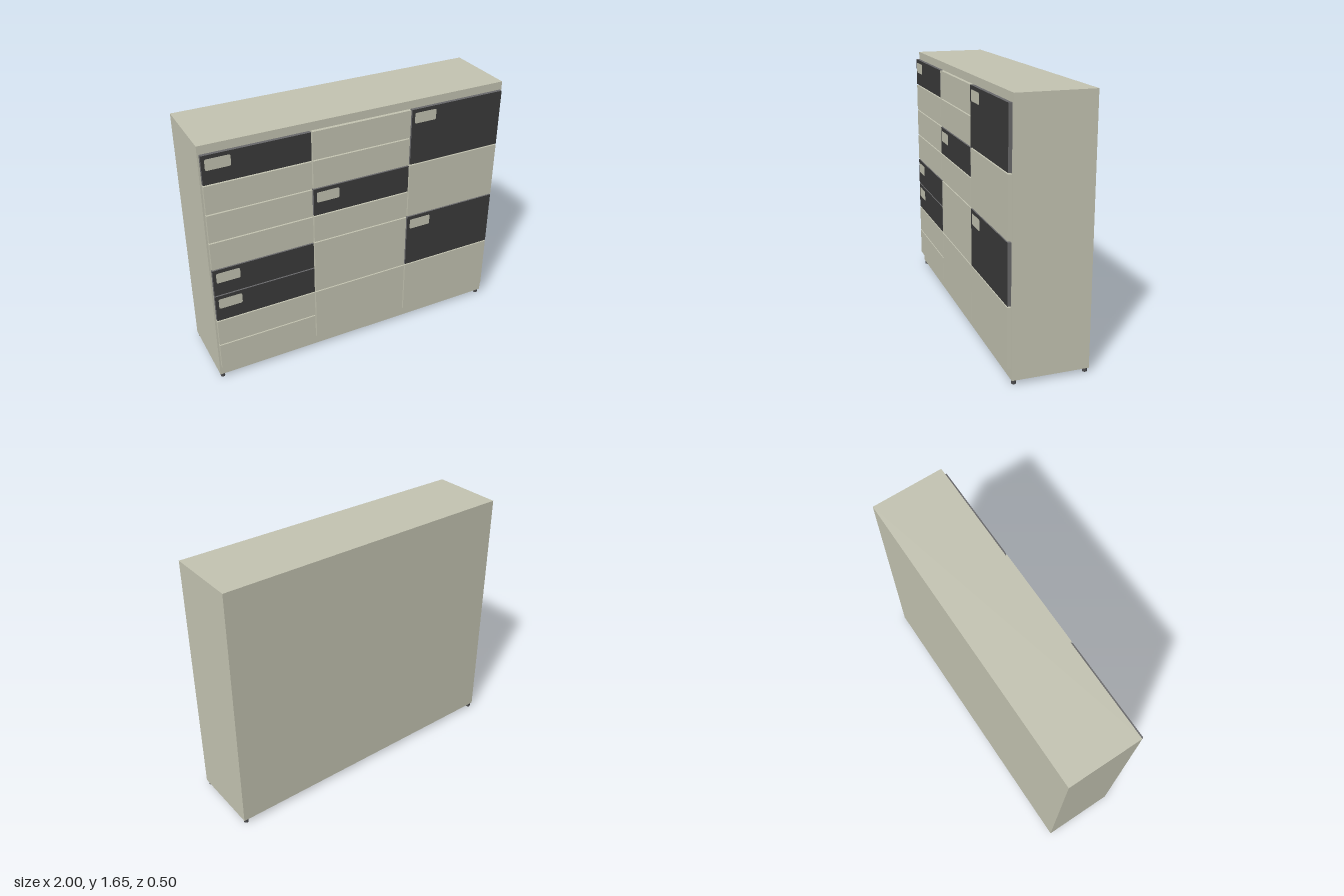
import * as THREE from 'three';

const mat = (name, color) => {
  const m = new THREE.MeshStandardMaterial({ color });
  m.name = name;
  return m;
};

export function createModel() {
  const group = new THREE.Group();
  group.name = 'drawerCabinet';
  const stone = mat('paleStone', 0xc3c3b1);
  const dark = mat('charcoalFront', 0x3a3a3a);
  const grey = mat('greyEdge', 0x68686a);
  const footGrey = mat('footGrey', 0x4c4c4e);

  const add = (name, geometry, material, x, y, z) => {
    const mesh = new THREE.Mesh(geometry, material);
    mesh.name = name;
    mesh.position.set(x, y, z);
    group.add(mesh);
    return mesh;
  };

  // Carcass
  add('carcass', new THREE.BoxGeometry(2, 1.624, 0.475), stone, 0, 0.839, -0.0125);

  // Feet
  for (const x of [-0.98, 0.978])
    for (const z of [-0.233, 0.207])
      add('foot', new THREE.CylinderGeometry(0.0145, 0.0145, 0.028, 16), footGrey, x, 0.014, z);

  // Rounded handle plate
  const w = 0.075, h = 0.035, r = 0.012;
  const shape = new THREE.Shape();
  shape.moveTo(-w + r, -h);
  shape.lineTo(w - r, -h);
  shape.quadraticCurveTo(w, -h, w, -h + r);
  shape.lineTo(w, h - r);
  shape.quadraticCurveTo(w, h, w - r, h);
  shape.lineTo(-w + r, h);
  shape.quadraticCurveTo(-w, h, -w, h - r);
  shape.lineTo(-w, -h + r);
  shape.quadraticCurveTo(-w, -h, -w + r, -h);
  const handle = new THREE.ShapeGeometry(shape, 4);

  // Fronts per column, from the top: [height in rows, is dark]
  const columns = [
    [[1, 1], [1, 0], [1, 0], [1, 0], [1, 1], [1, 1], [1, 0], [1, 0]],
    [[1, 0], [1, 0], [1, 1], [1, 0], [2, 0], [2, 0]],
    [[2, 1], [2, 0], [2, 1], [2, 0]],
  ];
  const pitch = 0.1885, gap = 0.008, width = 0.653;
  columns.forEach((fronts, c) => {
    const left = -0.99 + c * 0.661;
    let top = 1.6;
    for (const [rows, isDark] of fronts) {
      const height = rows * pitch - gap;
      const material = isDark ? [grey, grey, grey, grey, dark, grey] : stone;
      add(rows === 1 ? 'drawerFront' : 'doorFront', new THREE.BoxGeometry(width, height, 0.022),
        material, left + width / 2, top - height / 2, 0.238);
      if (isDark) add('handlePlate', handle, stone, left + 0.095, top - 0.058, 0.2505);
      top -= rows * pitch;
    }
  });

  return group;
}
